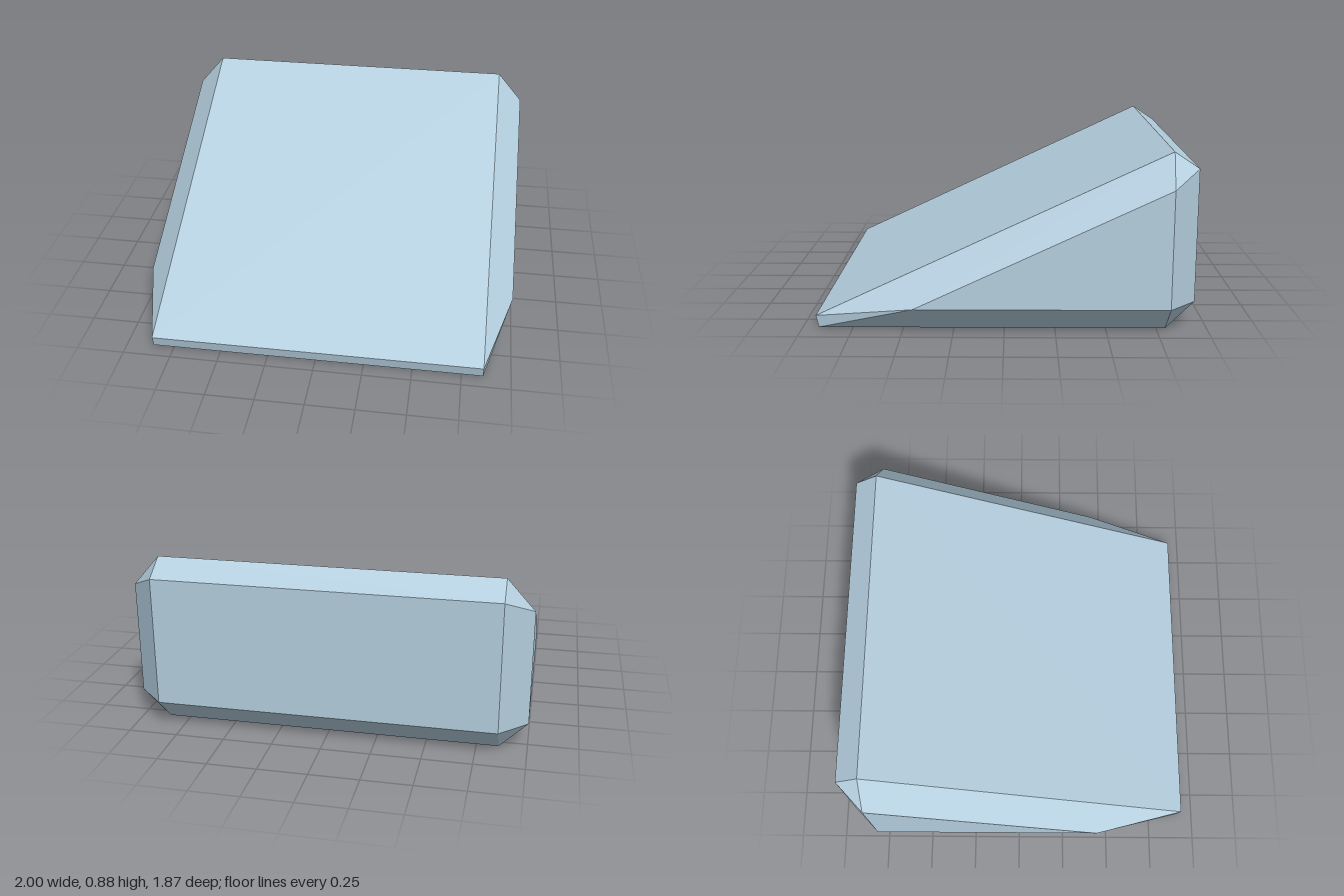
import * as THREE from 'three';
import { ConvexGeometry } from 'three/addons/geometries/ConvexGeometry.js';

// Bevelled wedge: a wide inner profile and a smaller outer profile on each side
export function createModel() {
  const paleBlue = new THREE.MeshStandardMaterial({ color: 0xb4cede });
  paleBlue.name = 'paleBlue';

  // Profiles as [y, z]
  const innerProfile = [[0.06, 0.935], [0, 0.92], [0, -0.795], [0.14, -0.935], [0.803, -0.935], [0.885, -0.812]];
  const outerProfile = [[0.14, 0.44], [0.14, -0.8], [0.725, -0.8]];

  const points = [];
  for (const side of [-1, 1]) {
    for (const [y, z] of innerProfile) points.push(new THREE.Vector3(side * 0.86, y, z));
    for (const [y, z] of outerProfile) points.push(new THREE.Vector3(side, y, z));
  }

  // Flat-faced solid around both pairs of profiles
  const wedge = new THREE.Mesh(new ConvexGeometry(points), paleBlue);
  wedge.name = 'bevelledWedge';

  const group = new THREE.Group();
  group.name = 'wedgeBlock';
  group.add(wedge);
  return group;
}
